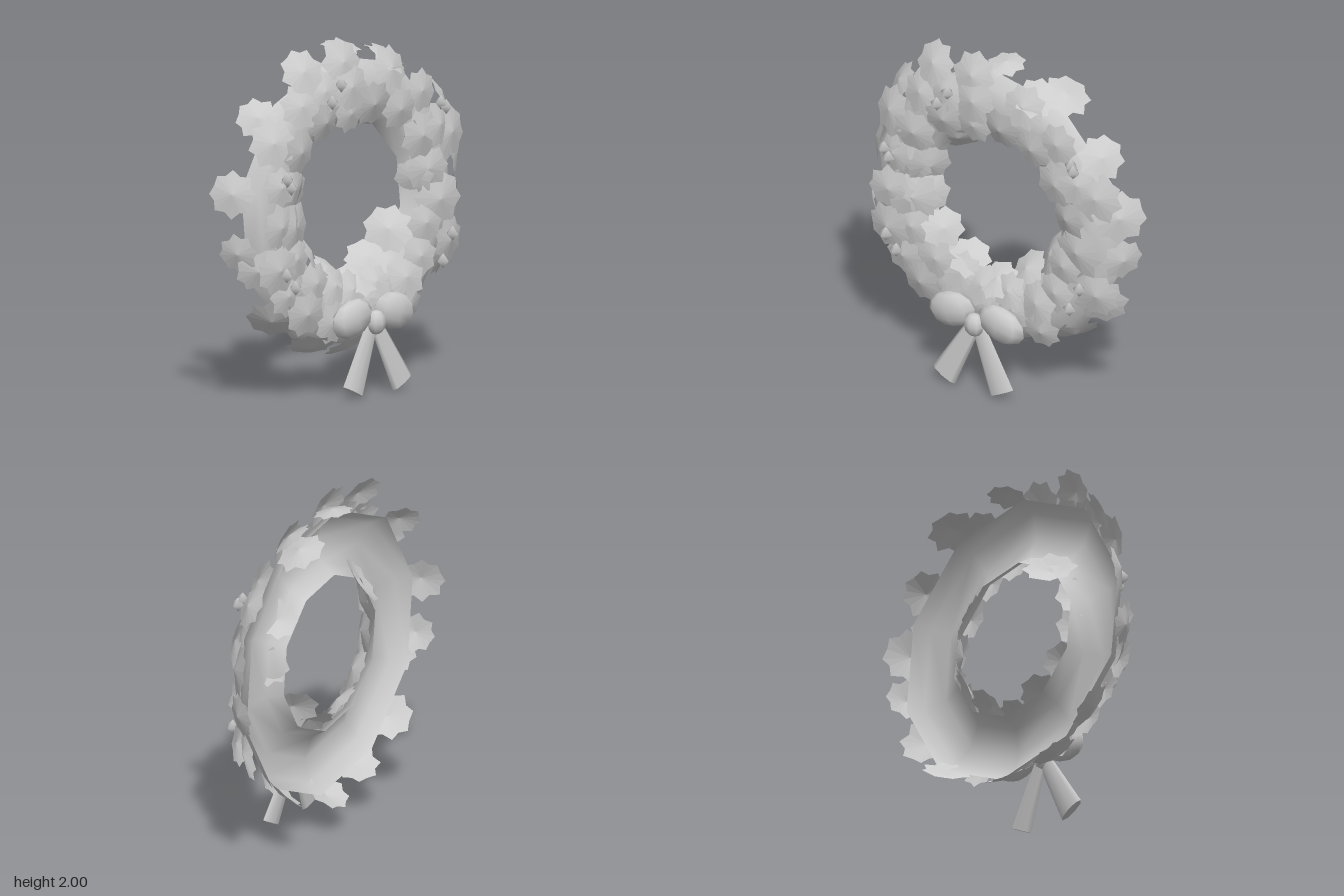
import * as THREE from 'three';

const CX = -0.01, CY = 1.06; // ring centre
const smooth = new THREE.MeshStandardMaterial({ color: 0xcccccc });
const shellMat = new THREE.MeshStandardMaterial({ color: 0xcccccc, side: THREE.DoubleSide });
const leafMat = new THREE.MeshStandardMaterial({ color: 0xcccccc, flatShading: true, side: THREE.DoubleSide });

// small seeded generator
let seed = 7;
function rnd(a, b) {
  seed = (seed * 16807) % 2147483647;
  return a + (b - a) * (seed / 2147483647);
}

// broad, shallow-lobed leaf of unit radius in the xy plane, raised in the middle
function leafGeometry() {
  const half = [[0.45, -0.95], [0.58, -0.6], [1, -0.38], [0.82, 0.02], [0.95, 0.45], [0.58, 0.62], [0.42, 0.95]];
  const rim = [[0, -0.85], ...half, [0, 0.9], ...half.slice().reverse().map(([x, y]) => [-x, y])];
  const pos = [0, 0, 0.1], index = [];
  rim.forEach(([x, y], i) => {
    pos.push(x, y, -0.12 * (x * x + y * y));
    index.push(0, i + 1, ((i + 1) % rim.length) + 1);
  });
  const g = new THREE.BufferGeometry();
  g.setAttribute('position', new THREE.Float32BufferAttribute(pos, 3));
  g.setIndex(index);
  g.computeVertexNormals();
  return g;
}

function add(parent, name, geo, mat, x, y, z) {
  const m = new THREE.Mesh(geo, mat);
  m.name = name;
  m.position.set(x, y, z);
  parent.add(m);
  return m;
}

export function createModel() {
  seed = 7;
  const root = new THREE.Group();
  root.name = 'wreath';

  // ten-sided ring shell: domed in front, hollow and open at the back
  const profile = [];
  for (let i = 0; i <= 4; i++) {
    const t = (i / 4) * Math.PI;
    profile.push(new THREE.Vector2(0.643 + 0.187 * Math.cos(t), -0.05 + 0.12 * Math.sin(t)));
  }
  const ringGeo = new THREE.LatheGeometry(profile, 10, THREE.MathUtils.degToRad(6)).rotateX(Math.PI / 2);
  add(root, 'ring', ringGeo, shellMat, CX, CY, 0);

  const leaves = new THREE.Group();
  leaves.name = 'leaves';
  root.add(leaves);
  const leafGeo = leafGeometry();
  // tilt leans the leaf outward (+) or towards the hole (-); spin turns it in its own plane
  function leaf(x, y, z, tilt, spin, size) {
    const a = Math.atan2(y - CY, x - CX);
    const m = add(leaves, 'leaf', leafGeo, leafMat, x, y, z);
    m.rotation.set(0, THREE.MathUtils.degToRad(tilt), spin);
    m.quaternion.premultiply(new THREE.Quaternion().setFromAxisAngle(new THREE.Vector3(0, 0, 1), a));
    m.scale.setScalar(size);
  }

  // large leaves on the front: x, y, size; the lean follows the distance from the centre
  [
    [-0.68, 1.49, 0.14], [-0.47, 1.67, 0.13], [-0.3, 1.73, 0.13], [-0.1, 1.73, 0.14], [0.08, 1.61, 0.13],
    [0.23, 1.79, 0.13], [0.29, 1.55, 0.12], [0.46, 1.63, 0.12], [0.46, 1.38, 0.14], [0.6, 1.42, 0.13],
    [0.71, 1.36, 0.15], [0.52, 1.18, 0.13], [0.6, 1.0, 0.16], [0.5, 0.88, 0.12], [0.71, 0.75, 0.13],
    [0.45, 0.7, 0.12], [0.33, 0.6, 0.13], [0.17, 0.5, 0.12], [0.12, 0.6, 0.11], [-0.06, 0.58, 0.12],
    [-0.2, 0.62, 0.12], [-0.36, 0.66, 0.12], [-0.45, 0.5, 0.13], [-0.24, 0.42, 0.12], [-0.67, 0.78, 0.14],
    [-0.52, 0.82, 0.12], [-0.52, 1.0, 0.16], [-0.66, 1.02, 0.13], [-0.53, 1.22, 0.13], [-0.64, 1.24, 0.11],
    [-0.5, 1.42, 0.13], [-0.3, 1.56, 0.12], [-0.1, 1.58, 0.11], [0.36, 0.43, 0.11], [-0.58, 0.62, 0.12],
  ].forEach(([x, y, s]) => {
    const d = (Math.hypot(x - CX, y - CY) - 0.64) / 0.17;
    leaf(x, y, 0.096 - 0.03 * d * d + rnd(-0.01, 0.01), 20 * d + rnd(-9, 9), rnd(0, 6.28), s);
  });

  // leaves standing out past the outer edge: x, y, z, tilt, size
  [
    [-0.13, 1.87, 0.06, 18, 0.14], [-0.41, 1.85, 0.03, 28, 0.135], [0, 1.93, -0.08, 78, 0.11],
    [0.38, 1.83, -0.12, 80, 0.14], [0.27, 1.84, 0.02, 55, 0.12], [-0.69, 1.62, -0.05, 50, 0.12],
    [-0.86, 1.21, -0.08, 58, 0.13], [-0.86, 0.88, -0.04, 66, 0.11], [-0.77, 0.78, 0.03, 35, 0.12],
    [-0.6, 0.47, -0.03, 60, 0.14], [-0.31, 0.28, -0.02, 66, 0.13], [0.02, 0.23, -0.05, 58, 0.13],
    [0.48, 0.4, -0.06, 65, 0.14], [0.71, 0.69, 0.02, 30, 0.15], [0.83, 0.97, -0.02, 60, 0.12],
    [0.82, 1.24, 0.0, 42, 0.15], [0.7, 1.58, 0.0, 55, 0.13],
  ].forEach(([x, y, z, t, s]) => leaf(x, y, z, t, rnd(-0.6, 0.6) - Math.PI / 2, s));

  // leaves leaning into the hole
  [
    [-0.3, 1.39, -0.05, -50, 0.15], [-0.44, 1.2, 0.03, -50, 0.13], [-0.45, 1.02, 0.03, -45, 0.13],
    [-0.35, 0.83, 0.02, -50, 0.12], [-0.18, 0.7, 0.01, -52, 0.12], [0.02, 0.63, 0.03, -50, 0.12],
    [0.17, 0.71, -0.04, -50, 0.13], [0.33, 0.85, -0.04, -52, 0.14], [0.46, 1.13, 0.03, -55, 0.11],
    [0.38, 1.38, 0.03, -50, 0.11],
  ].forEach(([x, y, z, t, s]) => leaf(x, y, z, t, rnd(-0.6, 0.6) + Math.PI / 2, s));

  // berries
  const berries = new THREE.Group();
  berries.name = 'berries';
  root.add(berries);
  const berryGeo = new THREE.SphereGeometry(0.042, 4, 2);
  [
    [-0.235, 1.77, 0.15], [-0.305, 1.68, 0.15], [0.58, 1.55, 0.125], [0.605, 1.525, 0.14], [-0.66, 1.295, 0.15],
    [-0.63, 1.245, 0.15], [-0.655, 0.755, 0.14], [-0.585, 0.675, 0.14], [0.65, 0.805, 0.145], [0.58, 0.66, 0.14],
  ].forEach(p => add(berries, 'berry', berryGeo, smooth, ...p));

  // bow: two loops, two tails and a knot
  const bow = new THREE.Group();
  bow.name = 'bow';
  bow.position.set(-0.015, 0.41, 0);
  root.add(bow);
  const loopGeo = new THREE.SphereGeometry(1, 8, 6);
  const tailGeo = new THREE.CylinderGeometry(0.045, 0.083, 0.4, 8);
  for (const s of [-1, 1]) {
    const loop = add(bow, 'bowLoop', loopGeo, smooth, s * 0.165, 0.04, 0.18);
    loop.scale.set(0.157, 0.105, 0.062);
    loop.rotation.z = -s * 0.25;
    const tail = add(bow, 'bowTail', tailGeo, smooth, s * 0.103, -0.187, 0.2);
    tail.scale.z = 0.3;
    tail.rotation.set(-0.08, 0, s * 0.47);
  }
  const knot = add(bow, 'bowKnot', loopGeo, smooth, 0, 0, 0.203);
  knot.scale.set(0.062, 0.07, 0.052);
  return root;
}
